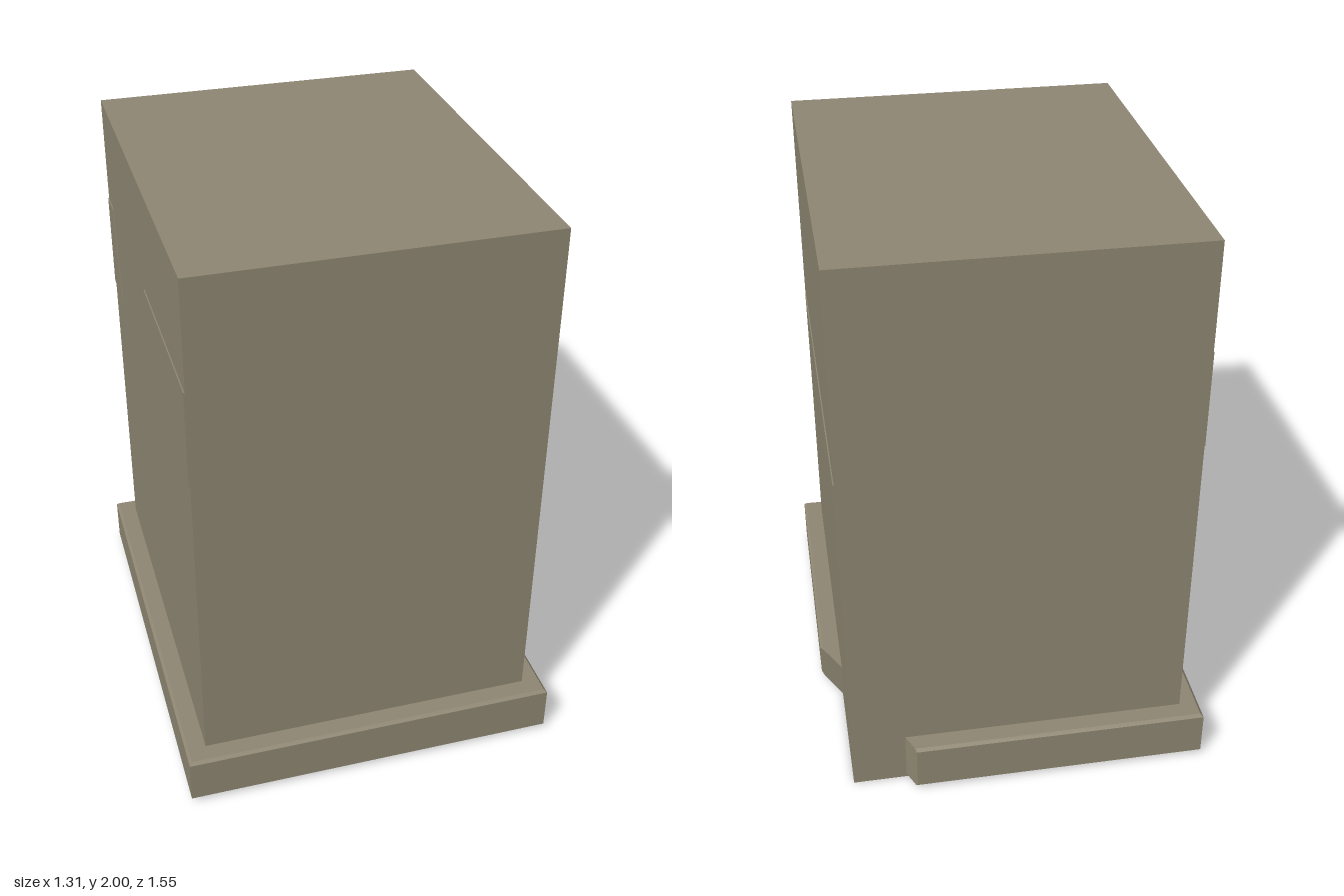
import * as THREE from 'three';

const HX = 0.587, HZ = 0.705; // half width and depth of the shaft

// Bevelled band swept around the shaft, open at the back right corner
function bandGeometry() {
  const y0 = 0.012, y1 = 0.188, out = 0.07, b = 0.01;
  const profile = [[-0.01, y0], [out - b, y0], [out, y0 + b], [out, y1 - b], [out - b, y1], [-0.01, y1]];
  const stations = [
    (o, y) => [HX + o, y, -0.31 + 1.9 * o + 0.3 * (y1 - y)], // slanted end, right side
    (o, y) => [HX + o, y, HZ + o],
    (o, y) => [-HX - o, y, HZ + o],
    (o, y) => [-HX - o, y, -HZ - o],
    (o, y) => [0.4 - 0.45 * o, y, -HZ - o], // slanted end, back
  ];
  const rings = stations.map((f) => profile.map(([o, y]) => f(o, y)));
  const pos = [];
  const tri = (...points) => points.forEach((p) => pos.push(...p));
  const n = profile.length;
  for (let i = 0; i < rings.length - 1; i++) {
    for (let j = 0; j < n; j++) {
      const k = (j + 1) % n;
      tri(rings[i][j], rings[i][k], rings[i + 1][k]);
      tri(rings[i][j], rings[i + 1][k], rings[i + 1][j]);
    }
  }
  // end caps
  const first = rings[0], last = rings[rings.length - 1];
  for (let j = 1; j < n - 1; j++) {
    tri(first[0], first[j + 1], first[j]);
    tri(last[0], last[j], last[j + 1]);
  }
  const g = new THREE.BufferGeometry();
  g.setAttribute('position', new THREE.Float32BufferAttribute(pos, 3));
  g.computeVertexNormals();
  return g;
}

// Thin slab on a side face; corners are [z, y], side is +1 or -1
function slabGeometry(side, corners) {
  const shape = new THREE.Shape(corners.map(([z, y]) => new THREE.Vector2(-side * z, y)));
  const g = new THREE.ExtrudeGeometry(shape, { depth: 0.005, bevelEnabled: false });
  g.rotateY(side * Math.PI / 2);
  g.translate(side * (HX - 0.001), 0, 0);
  return g;
}

export function createModel() {
  const group = new THREE.Group();
  const stone = new THREE.MeshStandardMaterial({ color: 0x8f8773 });
  stone.name = 'stone';

  const add = (name, geometry) => {
    const mesh = new THREE.Mesh(geometry, stone);
    mesh.name = name;
    group.add(mesh);
  };

  // main block
  const shaft = new THREE.BoxGeometry(HX * 2, 2, HZ * 2);
  shaft.translate(0, 1, 0);
  add('shaft', shaft);

  // broken base moulding
  add('baseBand', bandGeometry());

  // slightly raised stone slabs on the sides
  add('rightSlab', slabGeometry(1, [[0.6, 1.265], [0.56, 0.93], [-0.695, 0.93], [-0.695, 1.265]]));
  add('leftUpperSlab', slabGeometry(-1, [[0.04, 1.625], [0.235, 1.29], [0.7, 1.29], [0.7, 1.625]]));
  add('leftBackSlab', slabGeometry(-1, [[-0.7, 1.625], [-0.7, 1.285], [-0.54, 1.285], [-0.6, 1.625]]));

  return group;
}
